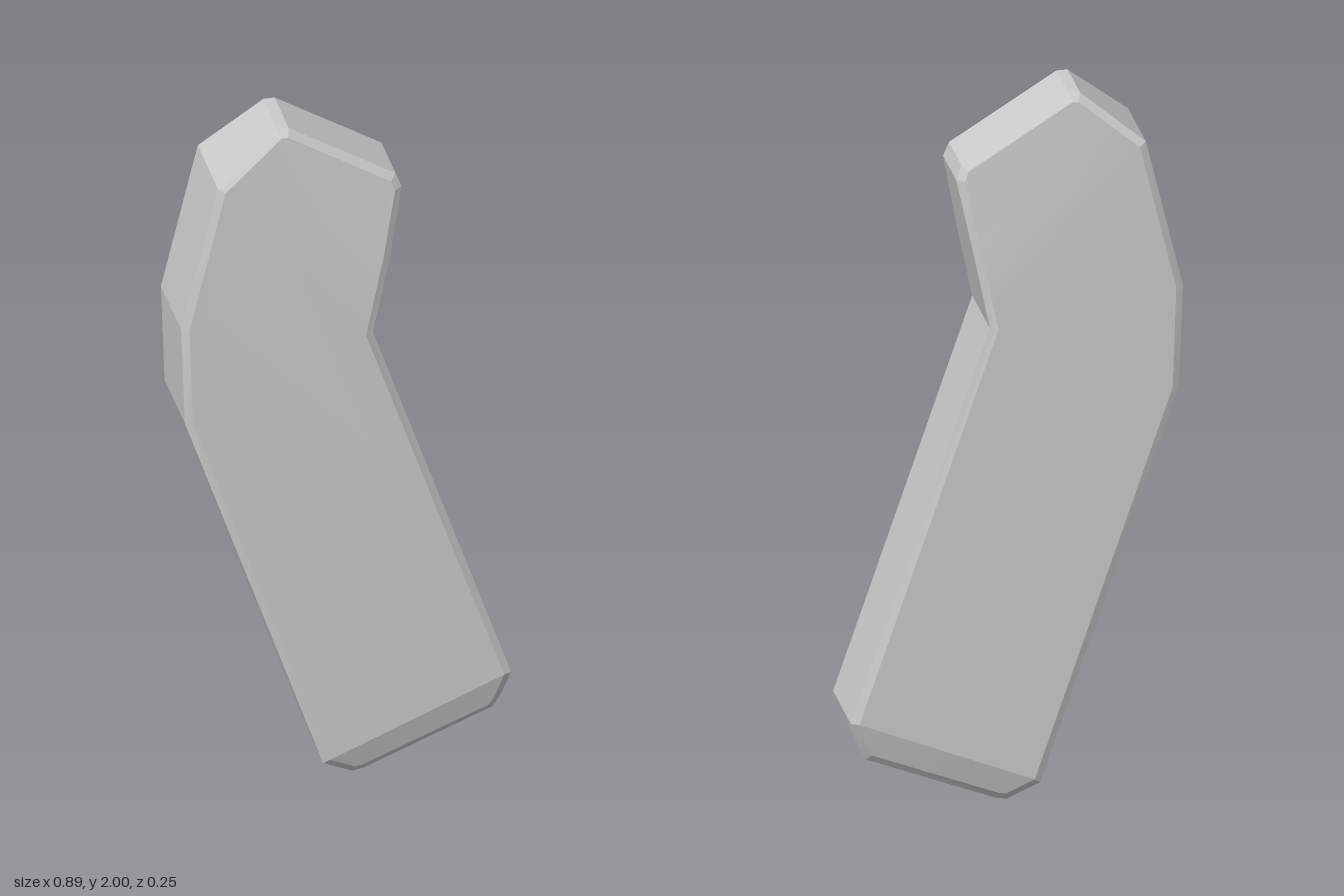
import * as THREE from 'three';
import { toCreasedNormals } from 'three/addons/utils/BufferGeometryUtils.js';

// Outline, counter-clockwise: x, y, rim half width, face half width
const OUTLINE = [
  [-0.18, 2.0, 0.08, 0.097], [-0.35, 1.86, 0.115, 0.125],
  [-0.45, 1.44, 0.115, 0.125], [-0.44, 1.15, 0.115, 0.125],
  [-0.065, 0.05, 0.115, 0.125], [0.02, 0, 0.09, 0.105],
  [0.05, 0.005, 0.09, 0.105], [0.4, 0.145, 0.09, 0.105],
  [0.42, 0.18, 0.095, 0.11], [0.445, 0.26, 0.115, 0.125],
  [0.07, 1.36, 0.115, 0.125], [0.115, 1.58, 0.115, 0.125],
  [0.155, 1.78, 0.085, 0.1], [0.14, 1.82, 0.08, 0.097],
  [-0.15, 2.0, 0.08, 0.097],
];
// Where the bottom corners move to form the floor of the groove
const GROOVE = { 5: [-0.035, 0.033], 6: [-0.01, 0.043], 7: [0.4, 0.212], 8: [0.428, 0.224] };
const GROOVE_HALF = 0.07;
const BEVEL = 0.02;
const N = OUTLINE.length;

// Outline point moved inward by the bevel, mitred at the corner
function inset(i) {
  const [p, q, r] = [i + N - 1, i, i + 1].map((k) => new THREE.Vector2(...OUTLINE[k % N].slice(0, 2)));
  const normal = (a, b) => new THREE.Vector2(a.y - b.y, b.x - a.x).normalize();
  const n1 = normal(p, q), n2 = normal(q, r);
  return q.addScaledVector(n1.clone().add(n2), BEVEL / (1 + n1.dot(n2)));
}

function bodyGeometry() {
  // Cross-section loops from the front face to the back face
  const face = OUTLINE.map((o, i) => { const p = inset(i); return [p.x, p.y, o[3]]; });
  const rim = OUTLINE.map(([x, y, h]) => [x, y, h]);
  const core = OUTLINE.map(([x, y], i) => [...(GROOVE[i] ?? [x, y]), GROOVE_HALF]);
  const mirror = (loop) => loop.map(([x, y, z]) => [x, y, -z]);
  const loops = [face, rim, core, mirror(core), mirror(rim), mirror(face)];
  const index = [];

  // Bevels, edge walls and groove
  for (let l = 0; l < loops.length - 1; l++) {
    for (let i = 0; i < N; i++) {
      const j = (i + 1) % N;
      const a = l * N + i, b = l * N + j, c = b + N, d = a + N;
      index.push(a, d, c, a, c, b);
    }
  }

  // Front and back faces: tapered top, flat middle, tapered bottom
  const back = (loops.length - 1) * N;
  for (const part of [[0, 1, 11, 12, 13, 14], [1, 2, 3, 4, 9, 10, 11], [4, 5, 6, 7, 8, 9]]) {
    const points = part.map((k) => new THREE.Vector2(face[k][0], face[k][1]));
    for (const tri of THREE.ShapeUtils.triangulateShape(points, [])) {
      const [a, b, c] = tri.map((k) => part[k]);
      index.push(a, b, c, back + a, back + c, back + b);
    }
  }

  const geometry = new THREE.BufferGeometry();
  geometry.setAttribute('position', new THREE.Float32BufferAttribute(loops.flat(2), 3));
  geometry.setIndex(index);
  return toCreasedNormals(geometry, 0.24);
}

export function createModel() {
  const group = new THREE.Group();
  const body = new THREE.Mesh(bodyGeometry(), new THREE.MeshStandardMaterial({ color: 0xcccccc }));
  body.name = 'bentGripBody';
  group.add(body);
  return group;
}
